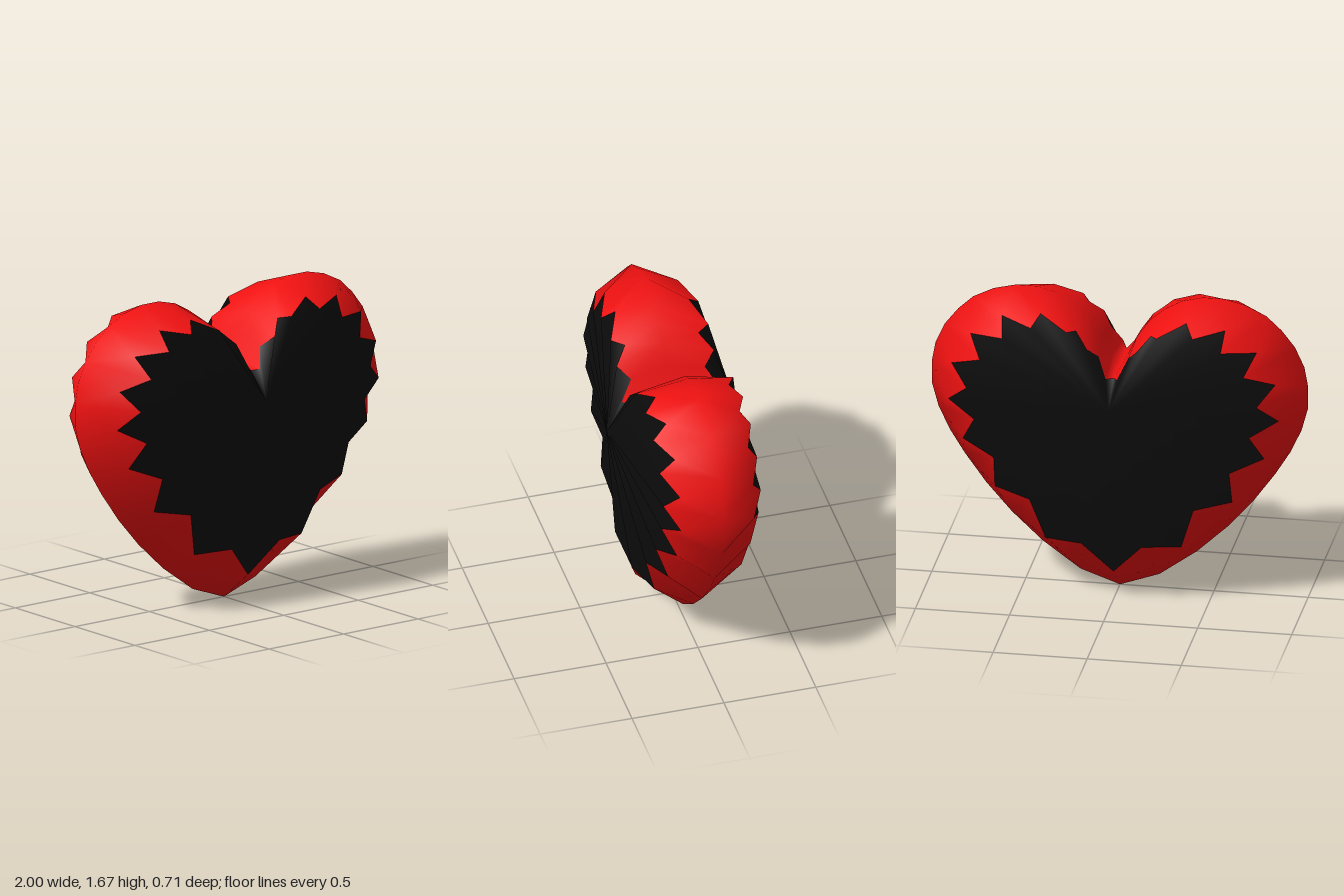
import * as THREE from 'three';

// Right half of the rim, from bottom point to notch
const RIM = [
  [0, 0], [0.21, 0.075], [0.41, 0.22], [0.575, 0.375], [0.71, 0.53], [0.825, 0.69], [0.905, 0.82], [0.965, 0.95],
  [1, 1.08], [1, 1.2], [0.98, 1.31], [0.93, 1.42], [0.86, 1.51], [0.78, 1.585], [0.67, 1.64], [0.555, 1.668],
  [0.44, 1.668], [0.33, 1.64], [0.24, 1.59], [0.16, 1.52], [0.09, 1.42], [0.04, 1.31], [0, 1.26],
];
// Zigzag colour border: even points are outer tips, odd points are inner valleys
const ZIGZAG = [
  [0, 0.16], [0.16, 0.335], [0.36, 0.325], [0.435, 0.565], [0.63, 0.6], [0.625, 0.79], [0.8, 0.86], [0.73, 1],
  [0.877, 1.08], [0.77, 1.175], [0.86, 1.285], [0.7, 1.34], [0.76, 1.46], [0.58, 1.47], [0.593, 1.575], [0.43, 1.54],
  [0.387, 1.6], [0.24, 1.53], [0.2, 1.515], [0.13, 1.44], [0.08, 1.38], [0.03, 1.28], [0, 1.26],
];
const TIP_Z = 0.2, VALLEY_Z = 0.265, CENTRE = [0, 1.13, 0.355];

// Mirror a half outline into a closed counterclockwise loop
const closeLoop = (half) => [...half, ...half.slice(1, -1).reverse().map(([x, y]) => [-x, y])];

function smoothMesh(name, points, faces, color) {
  const geometry = new THREE.BufferGeometry();
  geometry.setAttribute('position', new THREE.Float32BufferAttribute(points.flat(), 3));
  geometry.setIndex(faces.flat());
  geometry.computeVertexNormals();
  const mesh = new THREE.Mesh(geometry, new THREE.MeshStandardMaterial({ color }));
  mesh.name = name;
  return mesh;
}

export function createModel() {
  const group = new THREE.Group();
  group.name = 'heart';
  const rim = closeLoop(RIM).map(([x, y]) => [x, y, 0]);
  const border = closeLoop(ZIGZAG);
  const n = rim.length;
  const shellPoints = [...rim];
  const shellFaces = [];

  for (const side of [1, -1]) {
    const ring = border.map(([x, y], i) => [x, y, side * (i % 2 ? VALLEY_Z : TIP_Z)]);
    const start = shellPoints.length;
    const orient = ([a, b, c]) => (side > 0 ? [a, b, c] : [a, c, b]);
    shellPoints.push(...ring);

    // Red band between rim and zigzag, black fan inside the zigzag
    const fan = [];
    for (let i = 0; i < n; i++) {
      const j = (i + 1) % n;
      const a = start + i, b = start + j;
      const band = i % 2 ? [[i, j, b], [i, b, a]] : [[i, j, a], [j, b, a]];
      shellFaces.push(...band.map(orient));
      fan.push(orient([n, i, j]));
    }
    const centre = [CENTRE[0], CENTRE[1], side * CENTRE[2]];
    group.add(smoothMesh(side > 0 ? 'frontPanel' : 'backPanel', [...ring, centre], fan, 0x0c0c0c));
  }

  group.add(smoothMesh('redShell', shellPoints, shellFaces, 0xee1111));
  return group;
}
